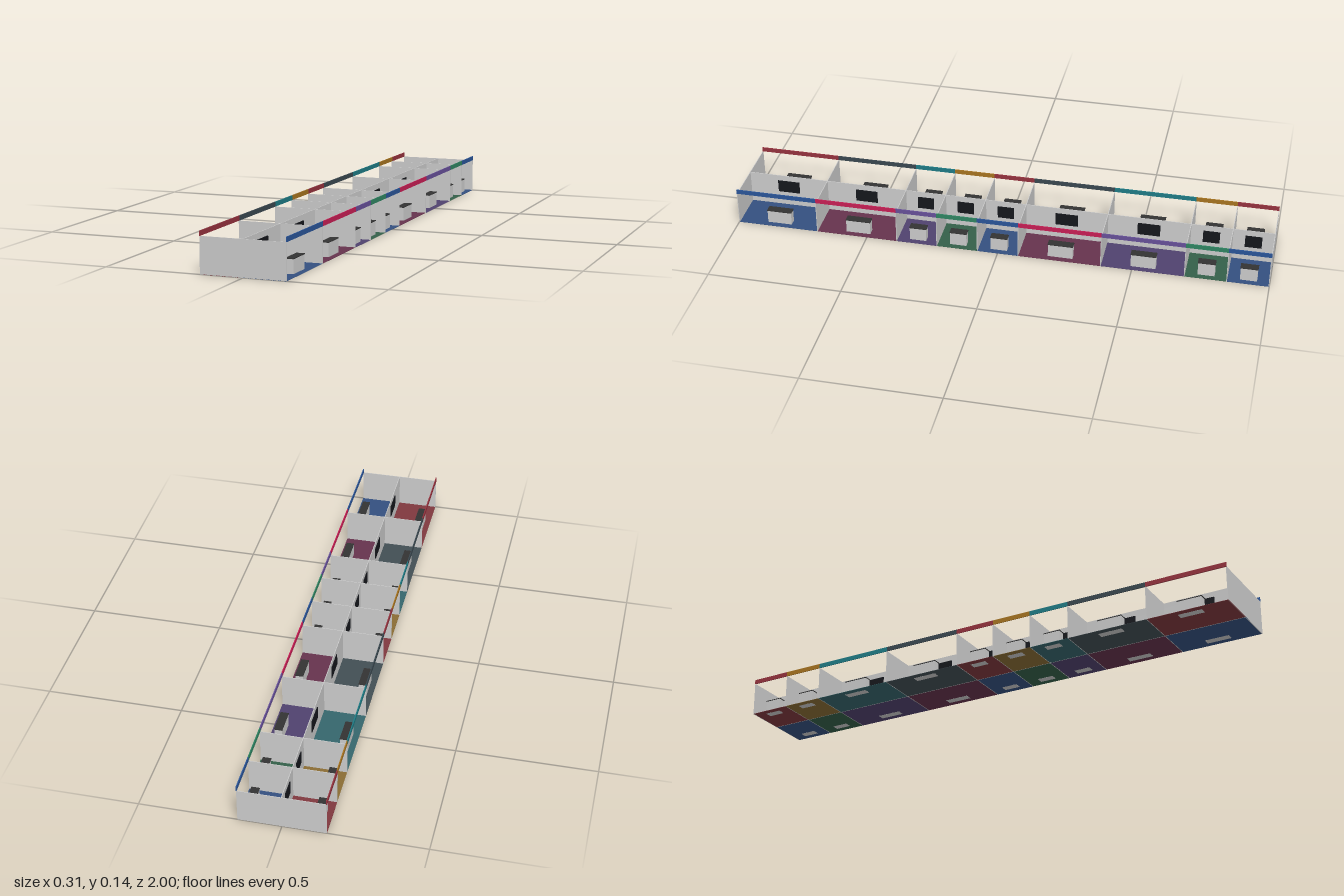
import * as THREE from 'three';

// Double row of exhibition booths, back to back
const UNIT = 2 / 13, DEPTH = UNIT, WALL_H = 0.128, WALL_T = 0.0026;
const SIZES = [1, 1, 2, 2, 1, 1, 1, 2, 2]; // booth lengths, back to front
const PALETTE = {
  left: [[0x2a5599, 0x34507f], [0x2f8562, 0x346049], [0x67509a, 0x50426e], [0xc81e55, 0x66334d]],
  right: [[0x96323e, 0x7f383e], [0xa87420, 0x8a6c34], [0x1f7c86, 0x35666c], [0x3a4850, 0x424e54]],
};

const material = (color) => new THREE.MeshStandardMaterial({ color });
const grey = material(0xcccccc), dark = material(0x333333), black = material(0x15171c);

function box(parent, name, size, pos, mat) {
  const mesh = new THREE.Mesh(new THREE.BoxGeometry(...size), mat);
  mesh.name = name;
  mesh.position.set(...pos);
  parent.add(mesh);
  return mesh;
}

// One booth; side is +1 (left row) or -1 (right row)
function booth(side, length, [bright, dull]) {
  const g = new THREE.Group();
  g.name = side > 0 ? 'leftBooth' : 'rightBooth';
  const big = length > UNIT * 1.5;
  const counterL = big ? 0.092 : 0.062, screenL = big ? 0.084 : 0.062;
  const counterX = side * 0.118;

  box(g, 'carpet', [DEPTH, 0.001, length], [side * DEPTH / 2, 0.0006, 0], material(dull));
  box(g, 'fascia', [0.0035, 0.017, length], [side * (DEPTH - 0.0005), WALL_H + 0.0085, 0], material(bright));
  box(g, 'counter', [0.028, 0.051, counterL], [counterX, 0.0255, 0], grey);
  box(g, 'counterTop', [0.03, 0.003, counterL + 0.003], [counterX, 0.0525, 0], dark);
  box(g, 'screen', [0.003, 0.048, screenL], [side * 0.0028, 0.082, 0], black);
  return g;
}

export function createModel() {
  const model = new THREE.Group();
  model.name = 'exhibitionBooths';

  // Shared spine wall and the outer end wall
  box(model, 'spineWall', [WALL_T, WALL_H, 2], [0, WALL_H / 2, 0], grey);
  const divider = (z) =>
    box(model, 'dividerWall', [DEPTH * 2, WALL_H, WALL_T], [0, WALL_H / 2, z], grey);
  divider(-1 + WALL_T / 2);

  let z = -1;
  SIZES.forEach((units, i) => {
    const length = units * UNIT;
    for (const side of [1, -1]) {
      const colors = PALETTE[side > 0 ? 'left' : 'right'][i % 4];
      const b = booth(side, length, colors);
      b.position.z = z + length / 2;
      model.add(b);
    }
    z += length;
    // Wall closing this booth; the last one sits inside the outer end
    divider(i === SIZES.length - 1 ? 1 - WALL_T / 2 : z);
  });
  return model;
}
